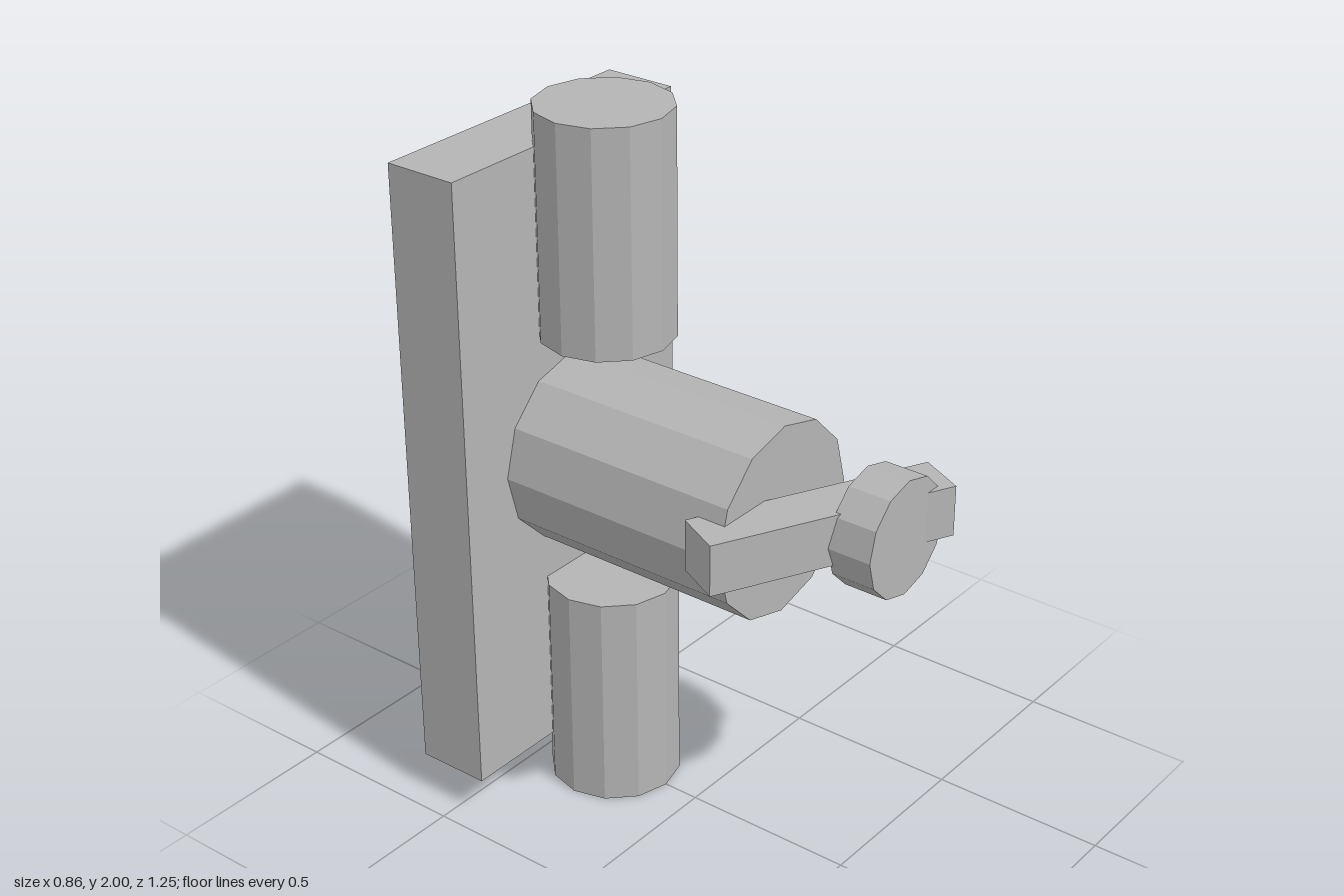
import * as THREE from 'three';

export function createModel() {
  const model = new THREE.Group();
  const grey = new THREE.MeshStandardMaterial({ color: 0xb4b4b4 });

  const add = (name, geometry, x, y, z) => {
    const mesh = new THREE.Mesh(geometry, grey);
    mesh.name = name;
    mesh.position.set(x, y, z);
    model.add(mesh);
    return mesh;
  };

  // Twelve-sided bar with hard facets, upright or lying along z
  const bar = (radius, length, alongZ = false) => {
    const geometry = new THREE.CylinderGeometry(radius, radius, length, 12).toNonIndexed();
    geometry.computeVertexNormals();
    return alongZ ? geometry.rotateX(Math.PI / 2) : geometry;
  };

  // Mounting plate at the back
  add('backPlate', new THREE.BoxGeometry(0.856, 1.775, 0.213), 0, 1.003, -0.522);

  // Upright rods above and below the barrel
  add('lowerRod', bar(0.185, 0.635), 0, 0.3175, -0.29);
  add('upperRod', bar(0.185, 0.632), 0, 1.684, -0.29);

  // Barrel reaching forward from the plate
  add('barrel', bar(0.272, 0.72, true), 0, 1.003, -0.075);

  // Slanted lever across the barrel's end
  const lever = add('lever', new THREE.BoxGeometry(0.698, 0.145, 0.143), 0, 1.023, 0.405);
  lever.rotation.y = -0.461;

  // Round knob on the lever
  add('knob', bar(0.166, 0.127, true), 0.117, 1.004, 0.524);

  return model;
}
